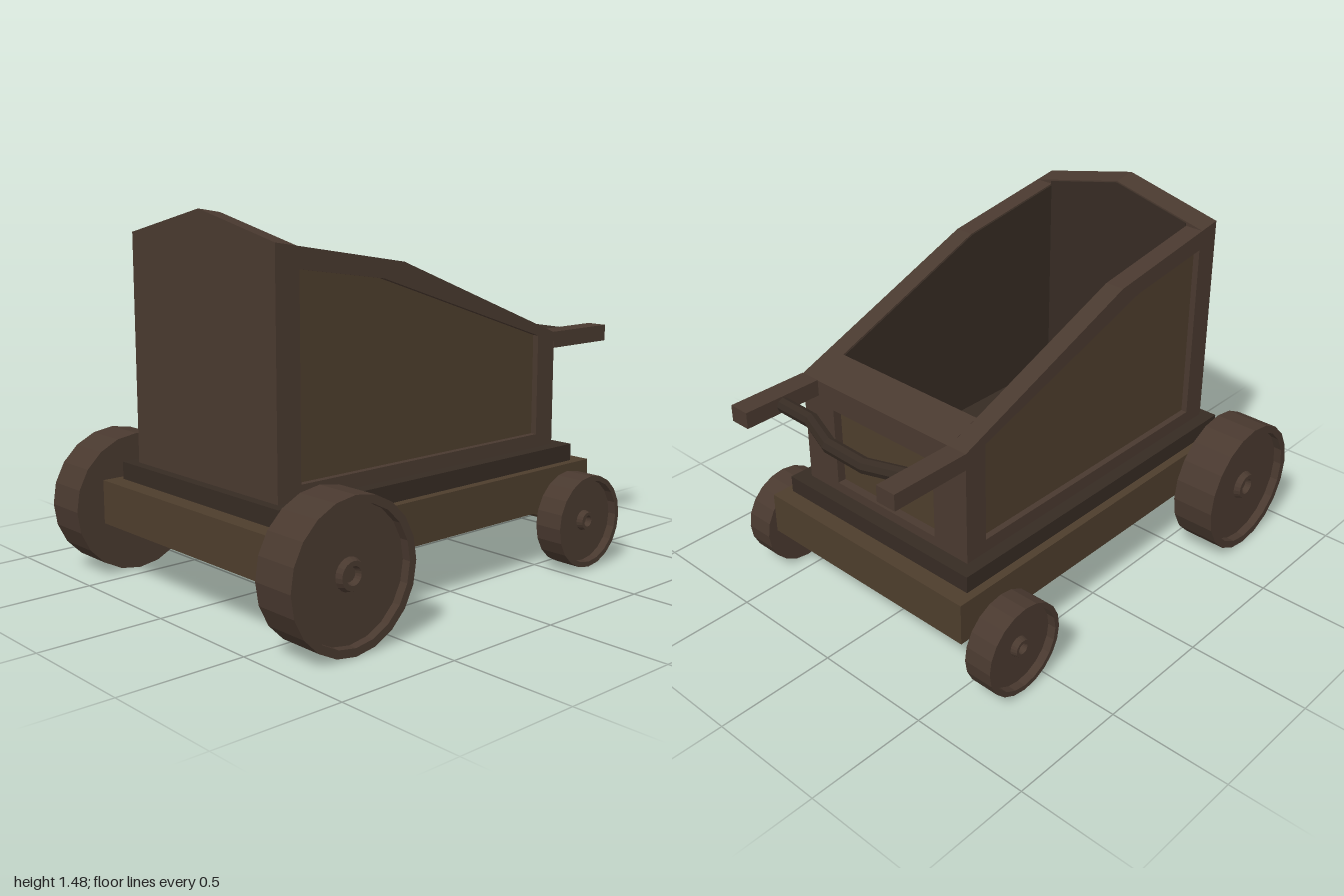
import * as THREE from 'three';

const material = (color) => new THREE.MeshStandardMaterial({ color, flatShading: true });
const FRAME = material(0x49392f);
const PANEL = material(0x4d3d2c);
const DARK = material(0x362b23);

const shapeOf = (pts) => new THREE.Shape(pts.map(([x, y]) => new THREE.Vector2(x, y)));

function withHole(outer, inner) {
  const shape = shapeOf(outer);
  shape.holes.push(new THREE.Path(inner.map(([x, y]) => new THREE.Vector2(x, y))));
  return shape;
}

// Extrude an (x, y) shape from z0 to z1
function alongZ(shape, z0, z1) {
  return new THREE.ExtrudeGeometry(shape, { depth: z1 - z0, bevelEnabled: false }).translate(0, 0, z0);
}

// Extrude a (z, y) shape from x0 to x1; the top edge falls by drop towards x1
function alongX(shape, x0, x1, drop = 0) {
  const geo = new THREE.ExtrudeGeometry(shape, { depth: x1 - x0, bevelEnabled: false });
  geo.rotateY(-Math.PI / 2).translate(x1, 0, 0);
  const p = geo.attributes.position;
  for (let i = 0; i < p.count; i++) {
    if (p.getY(i) > 0.9 && p.getX(i) > (x0 + x1) / 2) p.setY(i, p.getY(i) - drop);
  }
  return geo;
}

function box(x0, x1, y0, y1, z0, z1) {
  return new THREE.BoxGeometry(x1 - x0, y1 - y0, z1 - z0)
    .translate((x0 + x1) / 2, (y0 + y1) / 2, (z0 + z1) / 2);
}

// Solid wheel with a raised rim and a hollow hub on its outer face
function wheelGeometry(radius, width) {
  const h = width / 2, hub = radius * 0.22, face = h - 0.035;
  const profile = [
    [0, -h], [radius, -h], [radius, h], [radius * 0.89, h], [radius * 0.89, face],
    [hub, face], [hub * 0.85, h - 0.01], [hub * 0.55, h - 0.01], [hub * 0.45, face], [0, face],
  ].map(([r, y]) => new THREE.Vector2(r, y));
  return new THREE.LatheGeometry(profile, 20).rotateX(Math.PI / 2);
}

export function createModel() {
  const model = new THREE.Group();
  model.name = 'cart';
  const body = new THREE.Group();
  body.name = 'body';
  body.position.z = 0.007;
  model.add(body);

  const add = (parent, name, geo, mat) => {
    const mesh = new THREE.Mesh(geo, mat);
    mesh.name = name;
    parent.add(mesh);
    return mesh;
  };

  // Stepped base
  add(body, 'base', box(-0.91, 0.79, 0.235, 0.41, -0.525, 0.525), PANEL);
  add(body, 'upperBase', box(-0.84, 0.72, 0.41, 0.48, -0.49, 0.49), DARK);

  // Side walls: board, outer frame, recessed panel and inner lining
  const side = [[-0.705, 0.48], [0.66, 0.48], [0.66, 0.95], [-0.2, 1.285], [-0.705, 1.365]];
  const opening = [[-0.695, 0.535], [0.56, 0.535], [0.56, 0.945], [-0.3, 1.23], [-0.695, 1.285]];
  const lining = [[-0.7, 0.48], [0.52, 0.48], [0.52, 1], [-0.2, 1.281], [-0.7, 1.36]];
  for (const s of [1, -1]) {
    const span = (a, b) => (s > 0 ? [a, b] : [-b, -a]);
    const label = s > 0 ? 'front' : 'back';
    add(body, label + 'SideBoard', alongZ(shapeOf(side), ...span(0.355, 0.405)), FRAME);
    add(body, label + 'SideFrame', alongZ(withHole(side, opening), ...span(0.405, 0.435)), FRAME);
    add(body, label + 'SidePanel', alongZ(shapeOf(opening), ...span(0.404, 0.409)), PANEL);
    add(body, label + 'SideLining', alongZ(shapeOf(lining), ...span(0.351, 0.356)), DARK);
  }

  // Gabled tall end wall
  const gable = [[-0.435, 0.48], [0.435, 0.48], [0.435, 1.38], [0, 1.48], [-0.435, 1.38]];
  const gableLining = [[-0.354, 0.48], [0.354, 0.48], [0.354, 1.378], [0, 1.46], [-0.354, 1.378]];
  add(body, 'tallEndWall', alongX(shapeOf(gable), -0.8, -0.705, 0.015), FRAME);
  add(body, 'tallEndLining', alongX(shapeOf(gableLining), -0.706, -0.701), DARK);

  // Low end wall with a sloping top and a recessed panel
  const lowWall = [[0.52, 0.48], [0.62, 0.48], [0.62, 0.966], [0.52, 1.005]];
  const lowFrame = [[-0.355, 0.48], [0.355, 0.48], [0.355, 0.966], [-0.355, 0.966]];
  const lowOpening = [[-0.268, 0.52], [0.268, 0.52], [0.268, 0.85], [-0.268, 0.85]];
  add(body, 'lowEndWall', alongZ(shapeOf(lowWall), -0.355, 0.355), FRAME);
  add(body, 'lowEndFrame', alongX(withHole(lowFrame, lowOpening), 0.62, 0.66, 0.016), FRAME);
  add(body, 'lowEndPanel', alongX(shapeOf(lowOpening), 0.619, 0.624), PANEL);
  add(body, 'lowEndLining', box(0.516, 0.521, 0.48, 1.0, -0.352, 0.352), DARK);

  // Handle arms and the bent grip between them
  for (const s of [1, -1]) {
    add(body, 'handleArm', box(0.66, 1, 0.885, 0.952, s * 0.392 - 0.044, s * 0.392 + 0.044), FRAME);
  }
  const gripPath = new THREE.CatmullRomCurve3(
    [[0.83, 0.37], [0.832, 0.19], [0.905, 0], [0.91, -0.19], [0.845, -0.37]]
      .map(([x, z]) => new THREE.Vector3(x, 0.917, z)));
  add(body, 'handleGrip', new THREE.TubeGeometry(gripPath, 4, 0.03, 8), DARK);

  // Axles and wheels
  const axles = [
    { name: 'large', x: -0.72, y: 0.283, r: 0.281, z0: 0.57, z1: 0.755 },
    { name: 'small', x: 0.625, y: 0.2, r: 0.19, z0: 0.56, z1: 0.682 },
  ];
  for (const a of axles) {
    const mid = (a.z0 + a.z1) / 2;
    const axle = new THREE.CylinderGeometry(0.036, 0.036, mid * 2, 12).rotateX(Math.PI / 2);
    add(model, a.name + 'Axle', axle, PANEL).position.set(a.x, a.y, 0);
    for (const s of [1, -1]) {
      const wheel = add(model, a.name + 'Wheel', wheelGeometry(a.r, a.z1 - a.z0), FRAME);
      wheel.position.set(a.x, a.y, s * mid);
      if (s < 0) wheel.rotation.y = Math.PI;
    }
  }
  return model;
}
